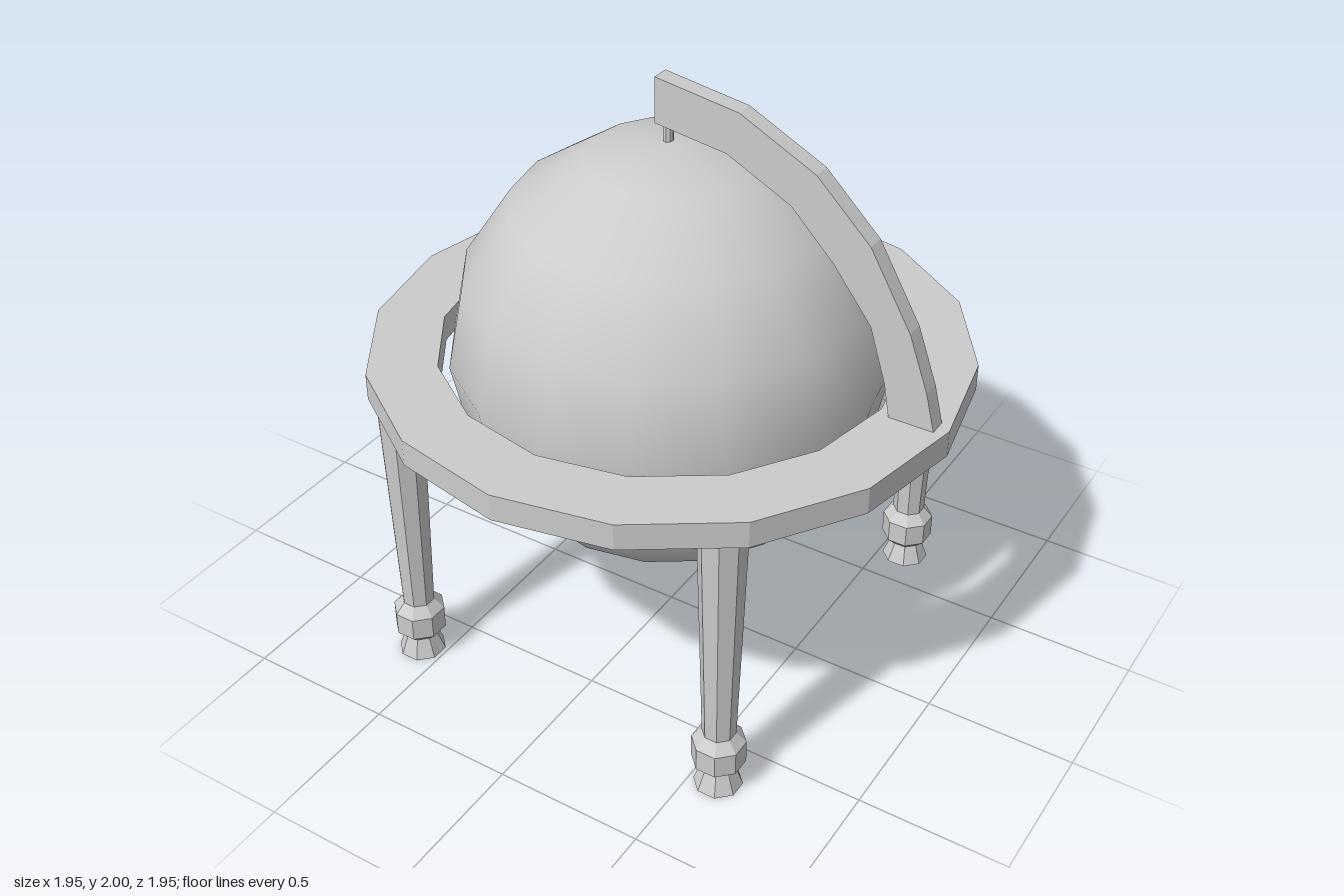
import * as THREE from 'three';

const smooth = new THREE.MeshStandardMaterial({ color: 0xcccccc });
const flat = new THREE.MeshStandardMaterial({ color: 0xcccccc, flatShading: true });

function add(parent, name, geometry, material, x = 0, y = 0, z = 0) {
  const mesh = new THREE.Mesh(geometry, material);
  mesh.name = name;
  mesh.position.set(x, y, z);
  parent.add(mesh);
  return mesh;
}

// Corners of a regular polygon with a corner on the x axis
function polygon(radius, sides) {
  return Array.from({ length: sides }, (_, i) => {
    const a = (i / sides) * Math.PI * 2;
    return new THREE.Vector2(Math.cos(a) * radius, Math.sin(a) * radius);
  });
}

export function createModel() {
  const model = new THREE.Group();
  model.name = 'globeOnStand';

  // Globe ball
  add(model, 'globe', new THREE.SphereGeometry(0.714, 16, 8), smooth, 0, 1.078, 0);

  // Flat sixteen-sided horizon ring
  const ringShape = new THREE.Shape(polygon(0.975, 16));
  ringShape.holes.push(new THREE.Path(polygon(0.75, 16).reverse()));
  const ring = new THREE.ExtrudeGeometry(ringShape, { depth: 0.09, bevelEnabled: false });
  ring.rotateX(-Math.PI / 2);
  add(model, 'horizonRing', ring, flat, 0, 1.0, 0);

  // Curved arm from the ring up to the pole
  const armOutline = [
    [-0.04, 1.85], [0.21, 1.815], [0.43, 1.705], [0.577, 1.556], [0.709, 1.385], [0.767, 1.2], [0.787, 1.09],
    [0.936, 1.09], [0.905, 1.214], [0.837, 1.4], [0.693, 1.648], [0.508, 1.828], [0.249, 1.957], [-0.04, 2.0],
  ].map(([x, y]) => new THREE.Vector2(x, y));
  const arm = new THREE.ExtrudeGeometry(new THREE.Shape(armOutline), { depth: 0.06, bevelEnabled: false });
  add(model, 'meridianArm', arm, flat, 0, 0, -0.03);

  // Pin between the arm and the globe
  add(model, 'polePin', new THREE.CylinderGeometry(0.016, 0.016, 0.09, 8), flat, -0.01, 1.82, 0);

  // Four turned eight-sided legs, profile given as half-width across flats
  const legProfile = [
    [0, 0], [0.073, 0], [0.049, 0.068], [0.08, 0.1], [0.08, 0.18], [0.05, 0.215], [0.071, 1.0], [0, 1.0],
  ].map(([w, y]) => new THREE.Vector2(w / Math.cos(Math.PI / 8), y));
  const leg = new THREE.LatheGeometry(legProfile, 8, Math.PI / 8);
  for (const x of [-0.587, 0.587]) {
    for (const z of [-0.66, 0.66]) {
      add(model, `${z > 0 ? 'front' : 'back'}${x > 0 ? 'Left' : 'Right'}Leg`, leg, flat, x, 0, z);
    }
  }

  return model;
}
